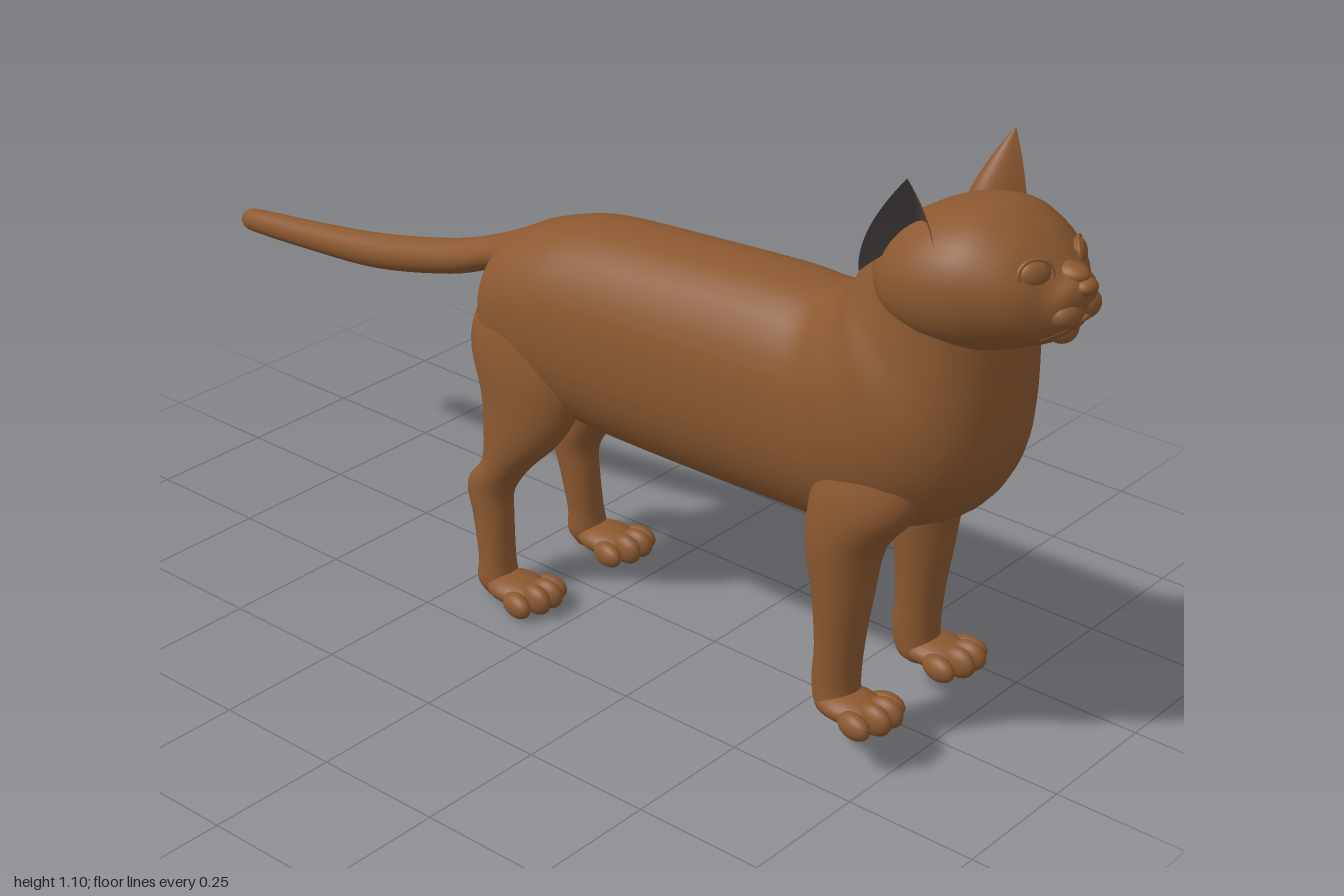
import * as THREE from 'three';

const fur = new THREE.MeshStandardMaterial({ color: 0x8b5830 });
fur.name = 'brown fur';
const grey = new THREE.MeshStandardMaterial({ color: 0x4c4745 });
grey.name = 'dark grey skin';

// Smooth loft. Each station: [topZ, topY, bottomZ, bottomY, halfWidth, centreX]
function loft(stations, side = 1, power = 1, steps = 5, seg = 36) {
  const tops = new THREE.CatmullRomCurve3(stations.map(s => new THREE.Vector3(s[4], s[1], s[0])), false, 'catmullrom', 0.5);
  const bots = new THREE.CatmullRomCurve3(stations.map(s => new THREE.Vector3((s[5] || 0) * side, s[3], s[2])), false, 'catmullrom', 0.5);
  const n = (stations.length - 1) * steps;
  const pos = [], idx = [];
  const shape = v => Math.sign(v) * Math.abs(v) ** power;
  for (let i = 0; i <= n; i++) {
    const t = tops.getPoint(i / n), b = bots.getPoint(i / n);
    for (let j = 0; j < seg; j++) {
      const a = j / seg * Math.PI * 2, c = shape(Math.cos(a)), s = shape(Math.sin(a));
      pos.push(b.x + t.x * s, (t.y + b.y) / 2 + (t.y - b.y) / 2 * c, (t.z + b.z) / 2 + (t.z - b.z) / 2 * c);
      if (i < n) {
        const k = (j + 1) % seg, p = i * seg, q = p + seg;
        idx.push(p + j, q + j, p + k, q + j, q + k, p + k);
      }
    }
  }
  // end caps
  [[tops.getPoint(0), bots.getPoint(0), 0], [tops.getPoint(1), bots.getPoint(1), n]].forEach(([t, b, row]) => {
    const c = pos.length / 3;
    pos.push(b.x, (t.y + b.y) / 2, (t.z + b.z) / 2);
    for (let j = 0; j < seg; j++) {
      const p = row * seg + j, q = row * seg + (j + 1) % seg;
      if (row) idx.push(c, q, p); else idx.push(c, p, q);
    }
  });
  const g = new THREE.BufferGeometry();
  g.setAttribute('position', new THREE.Float32BufferAttribute(pos, 3));
  g.setIndex(idx);
  g.computeVertexNormals();
  return g;
}

// Cupped ear wall; flip chooses which face of the wall is shown
function earWall(side, flip) {
  const N = 16, pos = [], idx = [];
  const base = new THREE.QuadraticBezierCurve3(
    new THREE.Vector3(0.128, 0.95, 0.785), new THREE.Vector3(-0.02, 0.97, 0.68), new THREE.Vector3(0.168, 0.93, 0.665));
  const tip = new THREE.Vector3(0.15, 1.102, 0.738);
  for (let i = 0; i <= N; i++) for (let j = 0; j <= N; j++) {
    const p = base.getPoint(j / N), v = i / N, k = v ** 1.7;
    pos.push(side * (p.x + (tip.x - p.x) * k + 0.01 * Math.sin(v * Math.PI) * (j / N)),
      p.y + (tip.y - p.y) * v, p.z + (tip.z - p.z) * k);
    if (i < N && j < N) {
      const a = i * (N + 1) + j, b = a + 1, c = a + N + 1, d = c + 1;
      if (flip) idx.push(a, c, b, b, c, d); else idx.push(a, b, c, b, d, c);
    }
  }
  const g = new THREE.BufferGeometry();
  g.setAttribute('position', new THREE.Float32BufferAttribute(pos, 3));
  g.setIndex(idx);
  g.computeVertexNormals();
  return g;
}

export function createModel() {
  const model = new THREE.Group();
  model.name = 'cat';
  const add = (name, geo, mat = fur, parent = model) => {
    const m = new THREE.Mesh(geo, mat);
    m.name = name;
    parent.add(m);
    return m;
  };
  const blob = (name, x, y, z, rx, ry, rz, parent = model, mat = fur) => {
    const m = add(name, new THREE.SphereGeometry(1, 24, 16), mat, parent);
    m.position.set(x, y, z);
    m.scale.set(rx, ry, rz);
    return m;
  };

  // Torso, chest and neck in one sweep
  add('body', loft([
    [-0.262, 0.63, -0.264, 0.55, 0.04], [-0.245, 0.67, -0.25, 0.49, 0.095], [-0.2, 0.715, -0.2, 0.43, 0.137],
    [-0.1, 0.757, -0.1, 0.4, 0.152], [0, 0.778, 0, 0.38, 0.155], [0.2, 0.793, 0.2, 0.375, 0.156],
    [0.4, 0.805, 0.42, 0.378, 0.156], [0.49, 0.803, 0.58, 0.386, 0.16], [0.53, 0.815, 0.7, 0.425, 0.175],
    [0.556, 0.835, 0.8, 0.48, 0.178], [0.572, 0.86, 0.852, 0.56, 0.174], [0.585, 0.885, 0.872, 0.66, 0.156],
    [0.605, 0.915, 0.876, 0.75, 0.144], [0.64, 0.95, 0.872, 0.82, 0.138],
  ], 1, 0.9));

  add('tail', loft([
    [-1, 0.515, -1, 0.503, 0.006], [-0.992, 0.526, -0.992, 0.492, 0.014], [-0.96, 0.536, -0.96, 0.488, 0.022],
    [-0.8, 0.554, -0.8, 0.496, 0.029], [-0.6, 0.583, -0.6, 0.513, 0.035], [-0.4, 0.63, -0.4, 0.56, 0.039],
    [-0.28, 0.675, -0.28, 0.605, 0.045], [-0.2, 0.712, -0.18, 0.63, 0.06], [-0.1, 0.74, -0.1, 0.64, 0.06],
  ]));

  // Head
  const head = new THREE.Group();
  head.name = 'head';
  model.add(head);
  add('skull', loft([
    [0.605, 0.92, 0.605, 0.88, 0.03], [0.635, 0.962, 0.635, 0.83, 0.09], [0.69, 1.002, 0.68, 0.8, 0.138],
    [0.75, 1.03, 0.75, 0.785, 0.158], [0.82, 1.04, 0.82, 0.79, 0.155], [0.88, 1.02, 0.88, 0.812, 0.132],
    [0.92, 0.992, 0.92, 0.828, 0.106], [0.95, 0.965, 0.945, 0.84, 0.074], [0.975, 0.954, 0.967, 0.86, 0.05],
    [0.988, 0.94, 0.982, 0.885, 0.025],
  ], 1, 0.93), fur, head);
  blob('nose', 0, 0.94, 0.982, 0.022, 0.014, 0.018, head);
  blob('nose bridge', 0, 0.955, 0.95, 0.024, 0.018, 0.035, head);
  blob('chin', 0, 0.857, 0.945, 0.03, 0.024, 0.024, head);
  for (const s of [-1, 1]) {
    const name = s > 0 ? 'left' : 'right';
    blob(name + ' muzzle pad', s * 0.026, 0.898, 0.962, 0.034, 0.026, 0.028, head);
    const eye = blob(name + ' eye', s * 0.063, 0.965, 0.925, 0.028, 0.022, 0.014, head);
    eye.rotation.set(-0.25, s * 0.55, 0, 'YXZ');
    const lid = add(name + ' eyelid', new THREE.TorusGeometry(1, 0.13, 8, 32), fur, head);
    lid.position.set(s * 0.064, 0.965, 0.928);
    lid.scale.set(0.03, 0.024, 0.03);
    lid.rotation.copy(eye.rotation);
    add(name + ' ear', earWall(s, s > 0), fur, head);
    add(name + ' inner ear', earWall(s, s < 0), grey, head);
  }
  // Downturned mouth line
  const mouth = new THREE.CatmullRomCurve3([[-0.055, 0.855, 0.938], [-0.03, 0.872, 0.966], [0, 0.888, 0.984], [0.03, 0.872, 0.966], [0.055, 0.855, 0.938]]
    .map(p => new THREE.Vector3(...p)));
  add('mouth', new THREE.TubeGeometry(mouth, 24, 0.005, 8), fur, head);

  // Paw with four toes
  const paw = (name, x, y, z) => {
    const g = new THREE.Group();
    g.name = name;
    g.position.set(x, y, z);
    model.add(g);
    blob('paw base', 0, 0.029, 0.01, 0.051, 0.027, 0.068, g);
    for (let i = 0; i < 4; i++) {
      const u = i - 1.5, mid = Math.abs(u) < 1;
      const toe = blob('toe', u * 0.031, mid ? 0.032 : 0.025, mid ? 0.07 : 0.05, 0.019, mid ? 0.029 : 0.024, 0.036, g);
      toe.rotation.y = u * 0.12;
    }
    blob('paw pad', 0, 0.012, 0.01, 0.03, 0.011, 0.035, g);
  };

  // Legs: stations run downward, front edge then back edge
  const foreleg = [
    [0.79, 0.6, 0.57, 0.6, 0.05, 0.1], [0.765, 0.5, 0.555, 0.5, 0.063, 0.113], [0.7, 0.41, 0.55, 0.4, 0.061, 0.117],
    [0.678, 0.3, 0.568, 0.3, 0.051, 0.118], [0.664, 0.2, 0.576, 0.2, 0.043, 0.118],
    [0.66, 0.13, 0.573, 0.13, 0.042, 0.118], [0.665, 0.09, 0.583, 0.085, 0.042, 0.12], [0.655, 0.07, 0.6, 0.07, 0.03, 0.122],
  ];
  const hindleg = [
    [-0.03, 0.64, -0.235, 0.62, 0.05, 0.08], [0.01, 0.5, -0.258, 0.52, 0.066, 0.092], [-0.01, 0.41, -0.225, 0.42, 0.06, 0.102],
    [-0.05, 0.345, -0.213, 0.35, 0.052, 0.11], [-0.112, 0.28, -0.214, 0.28, 0.043, 0.116], [-0.15, 0.22, -0.25, 0.225, 0.038, 0.12],
    [-0.152, 0.16, -0.235, 0.16, 0.036, 0.122], [-0.147, 0.08, -0.217, 0.08, 0.036, 0.126], [-0.14, 0.035, -0.218, 0.035, 0.038, 0.128],
    [-0.15, 0.008, -0.2, 0.008, 0.025, 0.128],
  ];
  for (const s of [-1, 1]) {
    const name = s > 0 ? 'left' : 'right';
    add(name + ' foreleg', loft(foreleg, s), fur);
    add(name + ' hind leg', loft(hindleg, s), fur);
    paw(name + ' front paw', s * 0.124, 0.066, 0.645);
    paw(name + ' hind paw', s * 0.129, 0.002, -0.137);
  }

  // Small bare patch behind the forelegs
  blob('belly patch', 0, 0.384, 0.575, 0.045, 0.004, 0.03, model, grey);
  return model;
}
